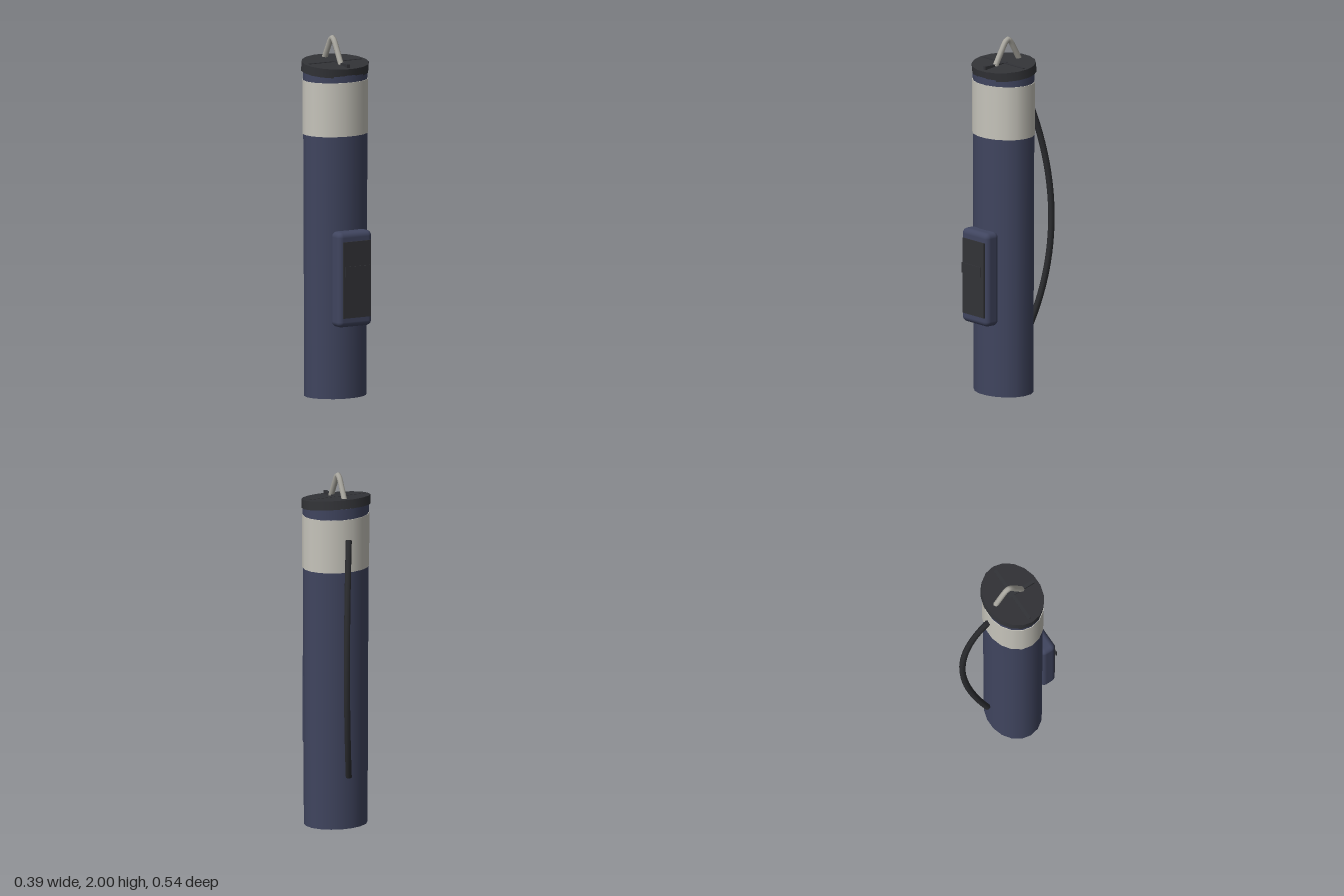
import * as THREE from 'three';
import { RoundedBoxGeometry } from 'three/addons/geometries/RoundedBoxGeometry.js';

const SIDES = 18;
const AXIS_Z = 0.035; // the tube sits slightly forward of the strap

const mat = (name, color) => {
  const m = new THREE.MeshStandardMaterial({ color });
  m.name = name;
  return m;
};

export function createModel() {
  const group = new THREE.Group();
  const navy = mat('navy', 0x40455f);
  const black = mat('black', 0x323337);
  const strapBlack = mat('strap black', 0x2b2c2f);
  const grey = mat('pale grey', 0xc6c4bb);
  const metal = mat('metal', 0xaaa8a0);

  const add = (name, geometry, material, x, y, z) => {
    const mesh = new THREE.Mesh(geometry, material);
    mesh.name = name;
    mesh.position.set(x, y, z);
    group.add(mesh);
    return mesh;
  };

  // Oval cylinder with a corner on the x axis
  const oval = (topX, bottomX, height, depthRatio) =>
    new THREE.CylinderGeometry(topX, bottomX, height, SIDES, 1, false, Math.PI / 2)
      .scale(1, 1, depthRatio);

  // Tapered body and the pale band around its top
  add('body', oval(0.187, 0.18, 1.82, 0.846), navy, 0, 0.91, AXIS_Z);
  add('band', oval(0.19, 0.189, 0.3, 0.852), grey, 0, 1.61, AXIS_Z);

  // Lid, tilted down toward the front, with two crossed ribs
  const lid = add('lid', oval(0.195, 0.195, 0.05, 0.845), black, 0, 1.83, 0.031);
  lid.rotation.x = 0.12;
  add('lidCrossRib', new THREE.BoxGeometry(0.34, 0.02, 0.018), black, 0, 1.848, 0.031);
  add('lidLongRib', new THREE.BoxGeometry(0.018, 0.02, 0.28), black, 0, 1.848, 0.033);

  // Metal loop on the lid
  const loop = new THREE.CatmullRomCurve3([
    [1.845, 0.095], [1.925, 0.05], [1.972, 0.021], [1.984, 0.004],
    [1.972, -0.013], [1.925, -0.042], [1.845, -0.087],
  ].map(([y, z]) => new THREE.Vector3(0, y, z)));
  add('lidLoop', new THREE.TubeGeometry(loop, 24, 0.016, 8), metal, 0, 0, 0);

  // Bowed carrying strap with closed ends
  const ends = [new THREE.Vector3(0, 1.645, -0.133), new THREE.Vector3(0, 0.3, -0.133)];
  const bow = new THREE.QuadraticBezierCurve3(ends[0], new THREE.Vector3(0.136, 0.93, -0.373), ends[1]);
  add('strap', new THREE.TubeGeometry(bow, 24, 0.018, 8), strapBlack, 0, 0, 0);
  ends.forEach((p, i) => {
    const cap = add('strapEnd', new THREE.CircleGeometry(0.018, 8), strapBlack, p.x, p.y, p.z);
    cap.lookAt(p.clone().addScaledVector(bow.getTangent(i), i ? 1 : -1));
  });

  // Front pouch with its dark panel and a raised label strip
  add('pouch', new RoundedBoxGeometry(0.22, 0.53, 0.095, 4, 0.03), navy, 0, 0.672, 0.2035);
  add('pouchPanel', new THREE.BoxGeometry(0.178, 0.425, 0.008), black, 0.003, 0.672, 0.253);
  add('pouchLabel', new THREE.BoxGeometry(0.156, 0.058, 0.005), black, -0.001, 0.72, 0.27);

  return group;
}
